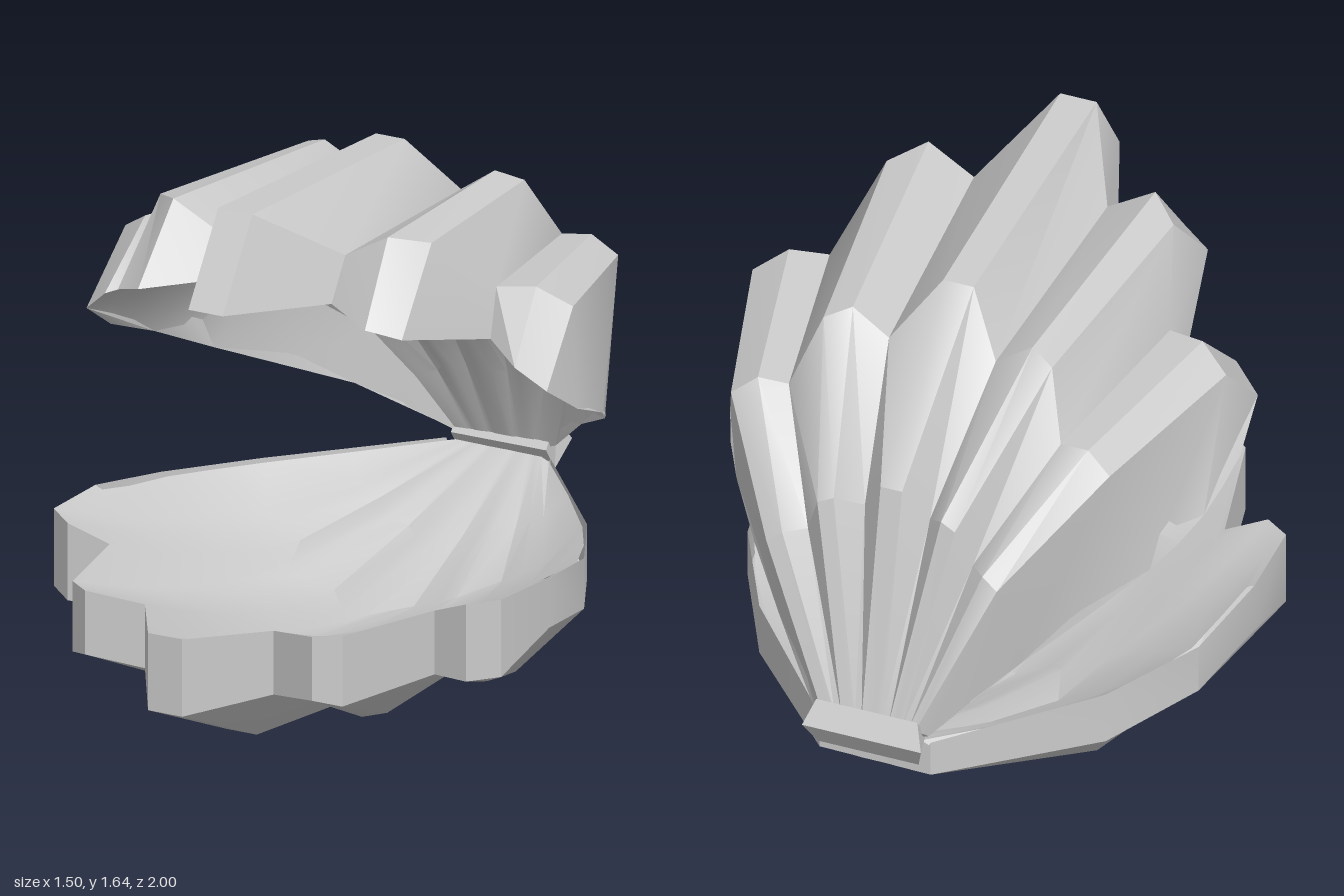
import * as THREE from 'three';
import { toCreasedNormals } from 'three/addons/utils/BufferGeometryUtils.js';

// Point between a and b with a separate fraction on each axis
const mix = (a, b, f) => a.map((v, i) => v + (b[i] - v) * f[i]);

// Loft closed rings (outer skin, rim, inner skin) from one side of the fan to the other;
// skew turns the side ribs slightly about the hinge
function loftShell(halfRings, flip, skew) {
  const mirrored = halfRings.map(r => r.map(([x, y, z]) => [-x, y, z])).reverse();
  const turn = ([x, y, z]) => (Math.abs(x) < 0.06 ? [x, y, z] : [x + skew * (z + 0.95), y, z - 2 * skew * x]);
  const rings = [...mirrored, ...halfRings].map(r => r.map(turn));
  const n = rings[0].length;
  const pos = [];
  const tri = (a, b, c) => {
    const [A, B, C] = [a, b, c].map(p => new THREE.Vector3(...p));
    if (B.clone().sub(A).cross(C.clone().sub(A)).length() < 1e-6) return;
    pos.push(...a, ...(flip ? c : b), ...(flip ? b : c));
  };
  for (let c = 0; c < rings.length - 1; c++) {
    for (let i = 0; i < n; i++) {
      const k = (i + 1) % n;
      const p = rings[c][i], q = rings[c + 1][i], r = rings[c + 1][k], s = rings[c][k];
      tri(p, q, r);
      tri(p, r, s);
    }
  }
  const g = new THREE.BufferGeometry();
  g.setAttribute('position', new THREE.Float32BufferAttribute(pos, 3));
  return toCreasedNormals(g, 0.55);
}

// Ring from hinge to rim along the outside and back along a smooth inside
function ring(outer, inner) {
  const path = [...inner, outer[4]].map(p => new THREE.Vector3(...p));
  const smooth = new THREE.CatmullRomCurve3(path).getPoints(8).slice(0, -1).map(p => p.toArray());
  return [...outer, ...smooth.reverse()];
}
const hingeX = i => 0.02 + i * 0.02;

// Upper valve: knee and rim point of each rib edge and valley
function upperShell() {
  const fan = [
    [[0.055, 1.65, 0.6], [0.055, 1.4, 0.77]],
    [[0.2, 1.48, 0.36], [0.2, 1.36, 0.44]],
    [[0.34, 1.56, 0.37], [0.36, 1.34, 0.54]],
    [[0.43, 1.53, 0.28], [0.45, 1.31, 0.49]],
    [[0.51, 1.34, 0.05], [0.53, 1.21, 0.12]],
    [[0.62, 1.35, 0.02], [0.65, 1.17, 0.2]],
    [[0.71, 1.29, -0.03], [0.73, 1.1, 0.16]],
  ];
  const rings = fan.map(([knee, rim], i) => {
    const top = [hingeX(i), 0.53, -0.95], low = [hingeX(i), 0.49, -0.92];
    const valley = i === 1 || i === 4;
    const back = valley ? [0.36, 0.6, 0.17] : [0.36, 0.61, 0.11];
    const outer = [top, mix(top, knee, back), mix(top, knee, [0.75, 0.95, 0.43]), knee, rim];
    const inner = [low, mix(low, rim, [0.32, 0.53, 0.15]), mix(low, rim, [0.68, 0.88, 0.45]), mix(low, rim, [0.9, 0.97, 0.8])];
    return ring(outer, inner);
  });
  // side margin, where both skins meet
  const margin = [[0.17, 0.5, -0.92], [0.36, 0.66, -0.72], [0.62, 0.83, -0.38], [0.71, 0.92, -0.2], [0.74, 1, 0]];
  rings.push(ring(margin, margin.slice(0, 4)));
  return loftShell(rings, true, 0.012);
}

// Lower valve: x, z, rim bottom, rim top and belly depth of each rib edge and valley
function lowerShell() {
  const fan = [
    [0.055, 1, 0.28, 0.51, 0.32],
    [0.21, 0.71, 0.28, 0.47, 0.23],
    [0.37, 0.77, 0.31, 0.5, 0.29],
    [0.44, 0.72, 0.29, 0.5, 0.25],
    [0.53, 0.36, 0.29, 0.48, 0.15],
    [0.65, 0.39, 0.3, 0.53, 0.19],
    [0.73, 0.33, 0.31, 0.54, 0.16],
  ];
  const sunk = (a, b, f, d) => {
    const p = mix(a, b, f);
    p[1] -= d;
    return p;
  };
  const back = [0.53, 0.43, 0.43], front = [0.8, 0.77, 0.77];
  const rings = fan.map(([x, z, y0, y1, d], i) => {
    const low = [hingeX(i), 0.36, -0.9], top = [hingeX(i), 0.47, -0.9];
    const edge = [x, y0, z], rim = [x, y1, z];
    const bowl = 0.25 - i * 0.02;
    const outer = [low, sunk(low, edge, back, d), sunk(low, edge, front, d * 0.66), edge, rim];
    const inner = [top, sunk(top, rim, back, bowl), sunk(top, rim, front, bowl * 0.6), sunk(top, rim, [0.95, 0.94, 0.94], bowl * 0.17)];
    return ring(outer, inner);
  });
  // side margin and the lip above it
  const lip = [[0.17, 0.47, -0.9], [0.53, 0.47, -0.49], [0.69, 0.49, -0.2], [0.74, 0.53, 0.08], [0.74, 0.53, 0.08]];
  const margin = [[0.17, 0.36, -0.9], [0.53, 0.31, -0.49], [0.69, 0.34, -0.2], [0.74, 0.38, 0.08], lip[4]];
  const inside = lip.slice(0, 4).map(([x, y, z]) => [x * 0.97, y - 0.01, z]);
  rings.push(ring(margin, inside), ring(lip, inside));
  return loftShell(rings, false, -0.013);
}

// Hinge bar: slanted block, narrower towards the front
function hingeBar() {
  const s = new THREE.Shape([[-0.95, 0.42], [-0.9, 0.49], [-0.96, 0.57], [-1, 0.5]].map(p => new THREE.Vector2(...p)));
  const g = new THREE.ExtrudeGeometry(s, { depth: 0.36, bevelEnabled: false });
  g.rotateY(-Math.PI / 2).translate(0.18, 0, 0);
  const p = g.attributes.position;
  for (let i = 0; i < p.count; i++) if (p.getZ(i) > -0.97) p.setX(i, p.getX(i) * 0.85);
  g.computeVertexNormals();
  return g;
}

export function createModel() {
  const model = new THREE.Group();
  model.name = 'openClam';
  const material = new THREE.MeshStandardMaterial({ color: 0xcccccc, side: THREE.DoubleSide });
  const add = (name, geometry) => {
    const mesh = new THREE.Mesh(geometry, material);
    mesh.name = name;
    model.add(mesh);
  };
  add('upperShell', upperShell());
  add('lowerShell', lowerShell());
  add('hinge', hingeBar());
  return model;
}
